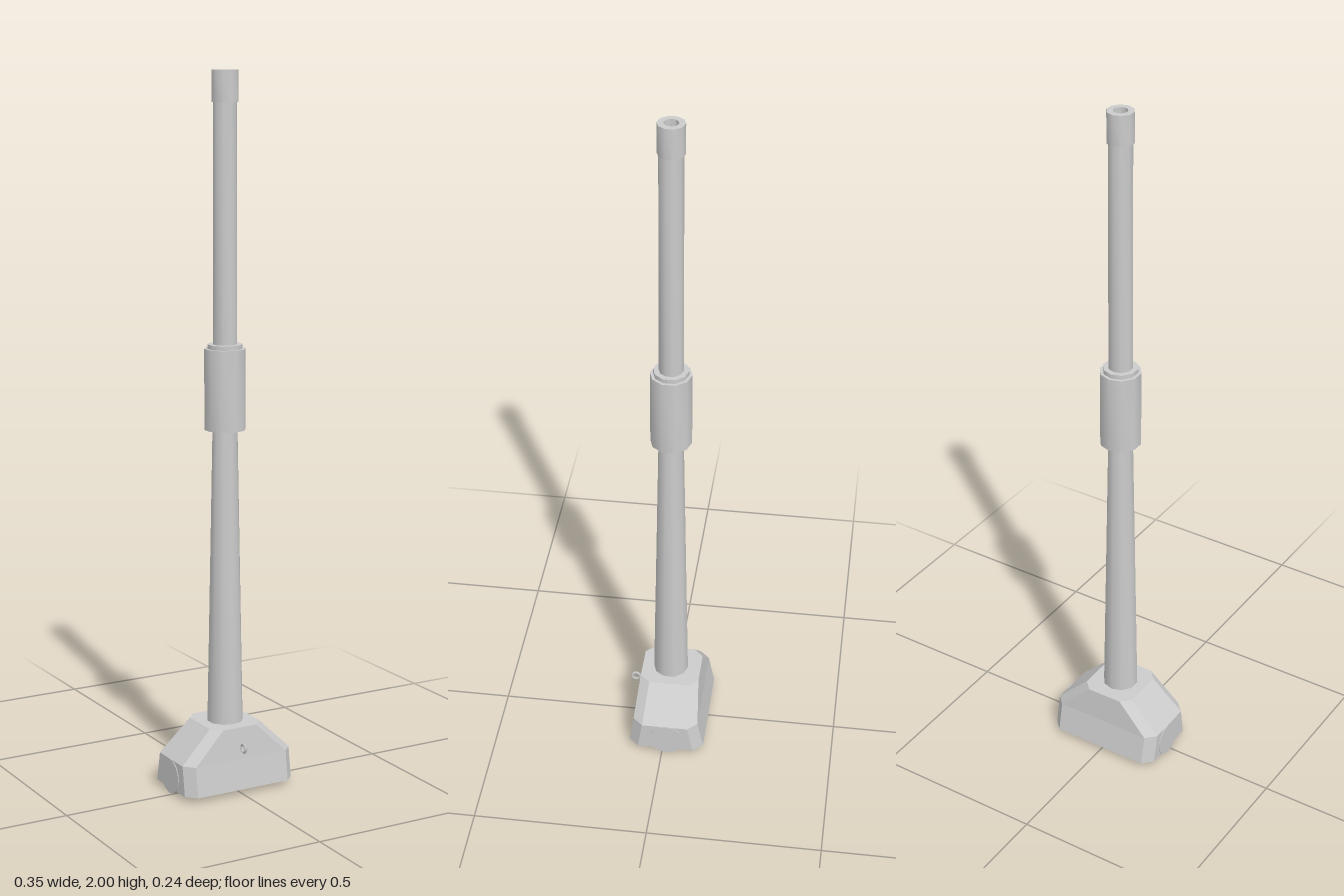
import * as THREE from 'three';
import { toCreasedNormals } from 'three/addons/utils/BufferGeometryUtils.js';

const AXIS_Z = 0.005; // the barrel axis sits slightly behind the centre
const grey = new THREE.MeshStandardMaterial({ color: 0xcccccc });
const flatGrey = new THREE.MeshStandardMaterial({ color: 0xcccccc, flatShading: true });

function addMesh(group, name, geometry, material = grey) {
  const mesh = new THREE.Mesh(geometry, material);
  mesh.name = name;
  group.add(mesh);
  return mesh;
}

// Ten-sided turned part; profile is [radius, y] from the bottom up
function turned(group, name, profile) {
  const points = profile.map(([r, y]) => new THREE.Vector2(r, y));
  const geometry = toCreasedNormals(new THREE.LatheGeometry(points, 10), 0.7);
  addMesh(group, name, geometry).position.z = -AXIS_Z;
}

// Chamfered rectangle, counterclockwise from above
function ring({ y, wide, narrow, front, frontSide, back, backSide }) {
  const right = [[narrow, front], [wide, frontSide], [wide, backSide], [narrow, back]];
  const left = right.map(([x, z]) => [-x, z]).reverse();
  return [...right, ...left].map(([x, z]) => [x, y, z]);
}

// Faceted solid lofted through rings of equal length
function loft(rings) {
  const n = rings[0].length;
  const index = [];
  for (let k = 0; k < rings.length - 1; k++) {
    for (let i = 0; i < n; i++) {
      const a = k * n + i, b = k * n + (i + 1) % n;
      index.push(a, b, b + n, a, b + n, a + n);
    }
  }
  const top = (rings.length - 1) * n;
  for (let i = 1; i < n - 1; i++) {
    index.push(0, i + 1, i, top, top + i, top + i + 1);
  }
  const geometry = new THREE.BufferGeometry();
  geometry.setAttribute('position', new THREE.Float32BufferAttribute(rings.flat(2), 3));
  geometry.setIndex(index);
  const faceted = geometry.toNonIndexed();
  faceted.computeVertexNormals();
  return faceted;
}

export function createModel() {
  const model = new THREE.Group();
  model.name = 'gunBarrel';

  // Faceted mantlet at the foot
  addMesh(model, 'mantlet', loft([
    ring({ y: 0.015, wide: 0.172, narrow: 0.145, front: 0.1, frontSide: 0.072, back: -0.12, backSide: -0.092 }),
    ring({ y: 0.1, wide: 0.172, narrow: 0.145, front: 0.088, frontSide: 0.059, back: -0.103, backSide: -0.075 }),
    ring({ y: 0.19, wide: 0.08, narrow: 0.053, front: 0.079, frontSide: 0.05, back: -0.094, backSide: -0.066 }),
  ]), flatGrey);

  // Trunnion discs on both ends
  for (const side of [1, -1]) {
    const geometry = new THREE.CylinderGeometry(0.051, 0.051, 0.01, 16);
    geometry.rotateZ(Math.PI / 2);
    const disc = addMesh(model, side > 0 ? 'leftTrunnion' : 'rightTrunnion', toCreasedNormals(geometry, 0.7));
    disc.position.set(side * 0.169, 0.051, -0.014);
  }

  // Small lifting eye on the front
  const eye = addMesh(model, 'liftingEye', new THREE.TorusGeometry(0.012, 0.004, 6, 10));
  eye.rotation.y = Math.PI / 2;
  eye.position.set(0, 0.136, 0.101);

  // Tapered lower barrel and straight upper barrel
  turned(model, 'lowerBarrel', [[0.051, 0.18], [0.035, 1.04]]);
  turned(model, 'upperBarrel', [[0.034, 1.24], [0.033, 1.93]]);

  // Bore evacuator with a thin collar on top
  turned(model, 'evacuator', [
    [0.03, 1.025], [0.058, 1.025], [0.058, 1.25], [0.049, 1.25], [0.049, 1.262], [0.03, 1.262],
  ]);

  // Hollow muzzle ring and bore
  turned(model, 'muzzle', [
    [0.028, 1.915], [0.037, 1.915], [0.037, 2], [0.02, 2], [0.02, 1.9], [0, 1.9],
  ]);

  return model;
}
